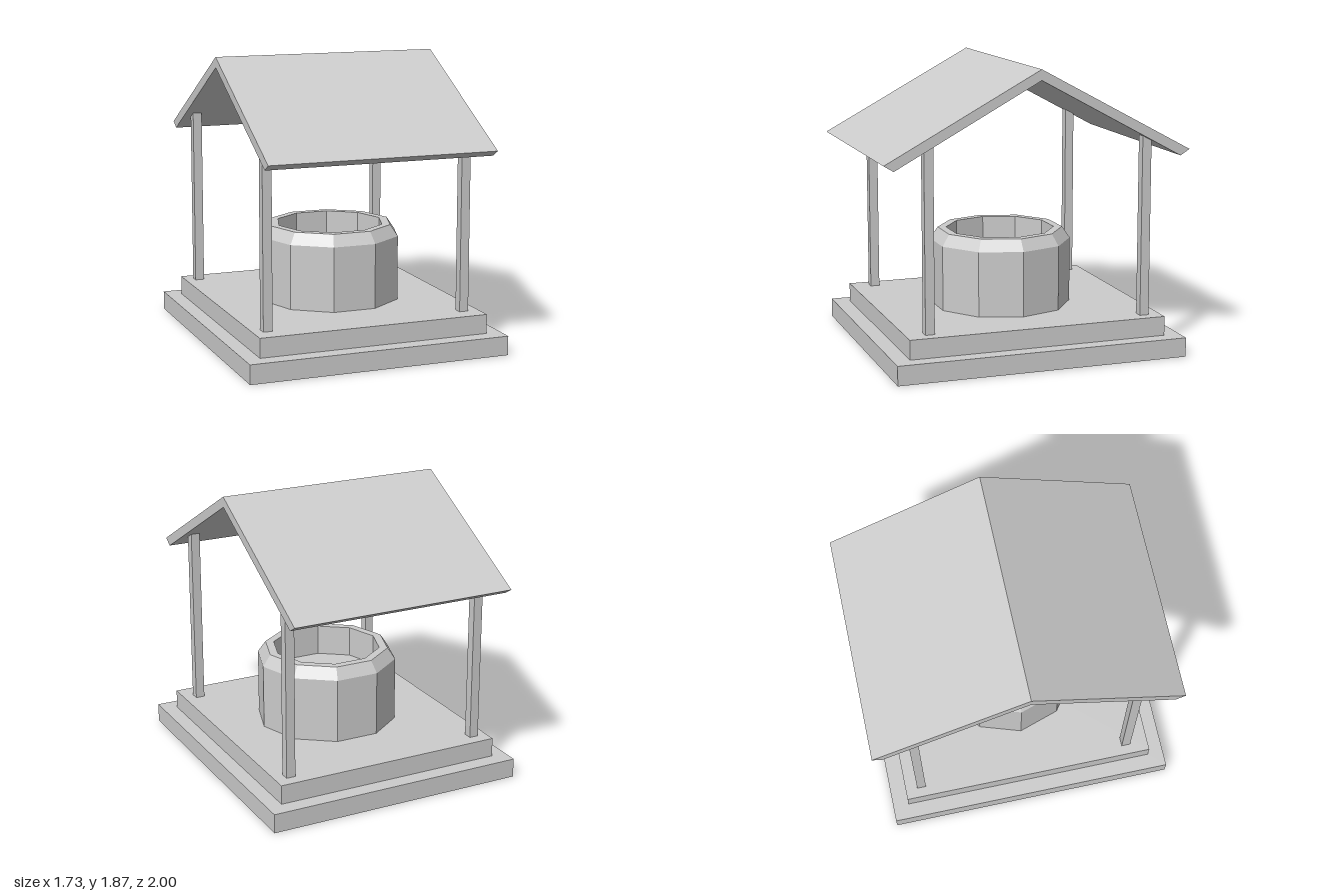
import * as THREE from 'three';

const material = new THREE.MeshStandardMaterial({ color: 0xcccccc, flatShading: true, side: THREE.DoubleSide });

function addMesh(group, name, geometry, x = 0, y = 0, z = 0) {
  const mesh = new THREE.Mesh(geometry, material);
  mesh.name = name;
  mesh.position.set(x, y, z);
  group.add(mesh);
  return mesh;
}

// Box without its underside
function openBox(width, height, depth) {
  const box = new THREE.BoxGeometry(width, height, depth);
  const index = Array.from(box.index.array);
  index.splice(18, 6);
  box.setIndex(index);
  box.clearGroups();
  return box;
}

export function createModel() {
  const model = new THREE.Group();
  model.name = 'coveredWell';

  // Stepped plinth, hollow underneath
  addMesh(model, 'lowerStep', openBox(1.725, 0.125, 1.908), -0.002, 0.0625, 0.008);
  addMesh(model, 'upperStep', new THREE.BoxGeometry(1.526, 0.125, 1.695), -0.002, 0.1875, 0.008);

  // Ten-sided well wall with bevelled rim, inner shaft and floor
  const profile = [
    [0.463, 0.25], [0.463, 0.675], [0.411, 0.75],
    [0.355, 0.75], [0.355, 0.55], [0, 0.55],
  ].map(([r, y]) => new THREE.Vector2(r, y));
  addMesh(model, 'well', new THREE.LatheGeometry(profile, 10, Math.PI / 2), 0.013, 0, 0.019);

  // Four posts whose tops are buried in the roof
  const bottom = 0.25;
  for (const [zName, z, top] of [['front', 0.705, 1.43], ['back', -0.73, 1.415]]) {
    for (const [xName, x] of [['Left', 0.657], ['Right', -0.671]]) {
      const height = top - bottom;
      addMesh(model, `${zName}${xName}Post`, new THREE.BoxGeometry(0.06, height, 0.06), x, bottom + height / 2, z);
    }
  }

  // Gabled roof: a chevron section swept along x
  const section = new THREE.Shape([
    [0, 1.865], [-1, 1.325], [-0.938, 1.287], [0, 1.797], [0.938, 1.287], [1, 1.325],
  ].map(([z, y]) => new THREE.Vector2(z, y)));
  const roofLength = 1.495;
  const roof = new THREE.ExtrudeGeometry(section, { depth: roofLength, bevelEnabled: false });
  roof.translate(0, 0, -roofLength / 2).rotateY(-Math.PI / 2);
  addMesh(model, 'roof', roof, -0.007, 0, 0);

  return model;
}
